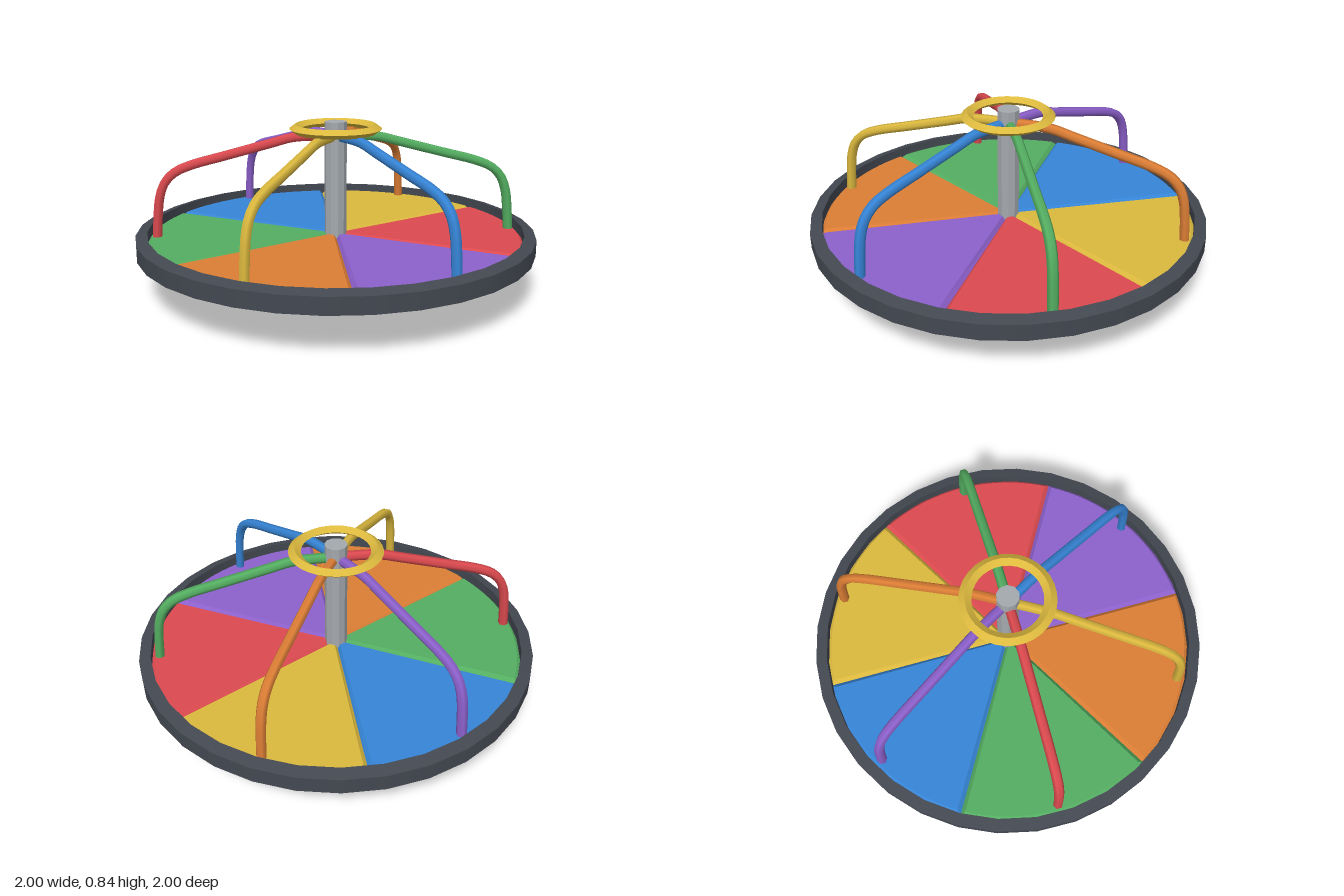
import * as THREE from 'three';

const mat = (name, color, extra = {}) => {
  const m = new THREE.MeshStandardMaterial({ color, ...extra });
  m.name = name;
  return m;
};

export function createModel() {
  const group = new THREE.Group();
  const red = mat('red', 0xdc4a4f);
  const orange = mat('orange', 0xdc7e35);
  const yellow = mat('yellow', 0xdcb93e);
  const green = mat('green', 0x54ae61);
  const blue = mat('blue', 0x3685d7);
  const purple = mat('purple', 0x8c60cb);
  const dark = mat('dark grey', 0x434851);
  const steel = mat('steel', 0xa4a9ae, { flatShading: true });
  const pale = mat('pale grey', 0xb6bbc0);

  const add = (name, geometry, material, y = 0) => {
    const mesh = new THREE.Mesh(geometry, material);
    mesh.name = name;
    mesh.position.y = y;
    group.add(mesh);
    return mesh;
  };

  // A closed four-sided profile turned into a hoop, one creased band per side
  const addHoop = (name, profile, material, y) => {
    profile.forEach((point, i) => {
      const band = [point, profile[(i + 1) % profile.length]];
      const points = band.map(([r, h]) => new THREE.Vector2(r, h));
      add(name, new THREE.LatheGeometry(points, 32), material, y);
    });
  };

  // Foot plate, bearing hub and centre pole
  add('basePlate', new THREE.CylinderGeometry(0.25, 0.25, 0.07, 18), pale, 0.035);
  add('hub', new THREE.CylinderGeometry(0.134, 0.134, 0.16, 18), dark, 0.145);
  add('centrePole', new THREE.CylinderGeometry(0.056, 0.056, 0.595, 10), steel, 0.5375);

  // Rim with slightly sloped top and bottom, and a diamond-section hand wheel
  addHoop('rim', [[0.942, -0.055], [1, -0.04], [1, 0.04], [0.942, 0.055]], dark, 0.25);
  addHoop('handWheel', [[0.2, -0.023], [0.231, 0], [0.2, 0.023], [0.169, 0]], yellow, 0.8);

  // Six bevelled deck panels, counted anticlockwise from the right front as seen from above
  const wedge = new THREE.Shape();
  wedge.moveTo(0, 0);
  wedge.lineTo(0.945 * Math.cos(Math.PI / 6), -0.945 / 2);
  wedge.absarc(0, 0, 0.945, -Math.PI / 6, Math.PI / 6, false);
  wedge.lineTo(0, 0);
  const panel = new THREE.ExtrudeGeometry(wedge, {
    depth: 0.015, bevelEnabled: true, bevelThickness: 0.02, bevelSize: 0.02,
    bevelOffset: -0.02, bevelSegments: 1, curveSegments: 8,
  });
  panel.rotateX(-Math.PI / 2);
  const panelColours = [purple, red, yellow, blue, green, orange];

  // Six bent grab bars, running from the pole out and down to the deck
  const path = new THREE.CatmullRomCurve3([
    [0.03, 0.763], [0.13, 0.763], [0.22, 0.757], [0.32, 0.731], [0.55, 0.671], [0.72, 0.626],
    [0.8, 0.591], [0.85, 0.54], [0.877, 0.47], [0.89, 0.38], [0.9, 0.25],
  ].map(([r, y]) => new THREE.Vector3(r, y, 0)));
  const bar = new THREE.TubeGeometry(path, 32, 0.025, 6);
  const barColours = [blue, green, orange, purple, red, yellow];

  for (let i = 0; i < 6; i++) {
    const angle = -Math.PI / 6 + i * Math.PI / 3;
    add('deckPanel', panel, panelColours[i], 0.23).rotation.y = angle;
    add('grabBar', bar, barColours[i]).rotation.y = angle;
  }

  return group;
}
